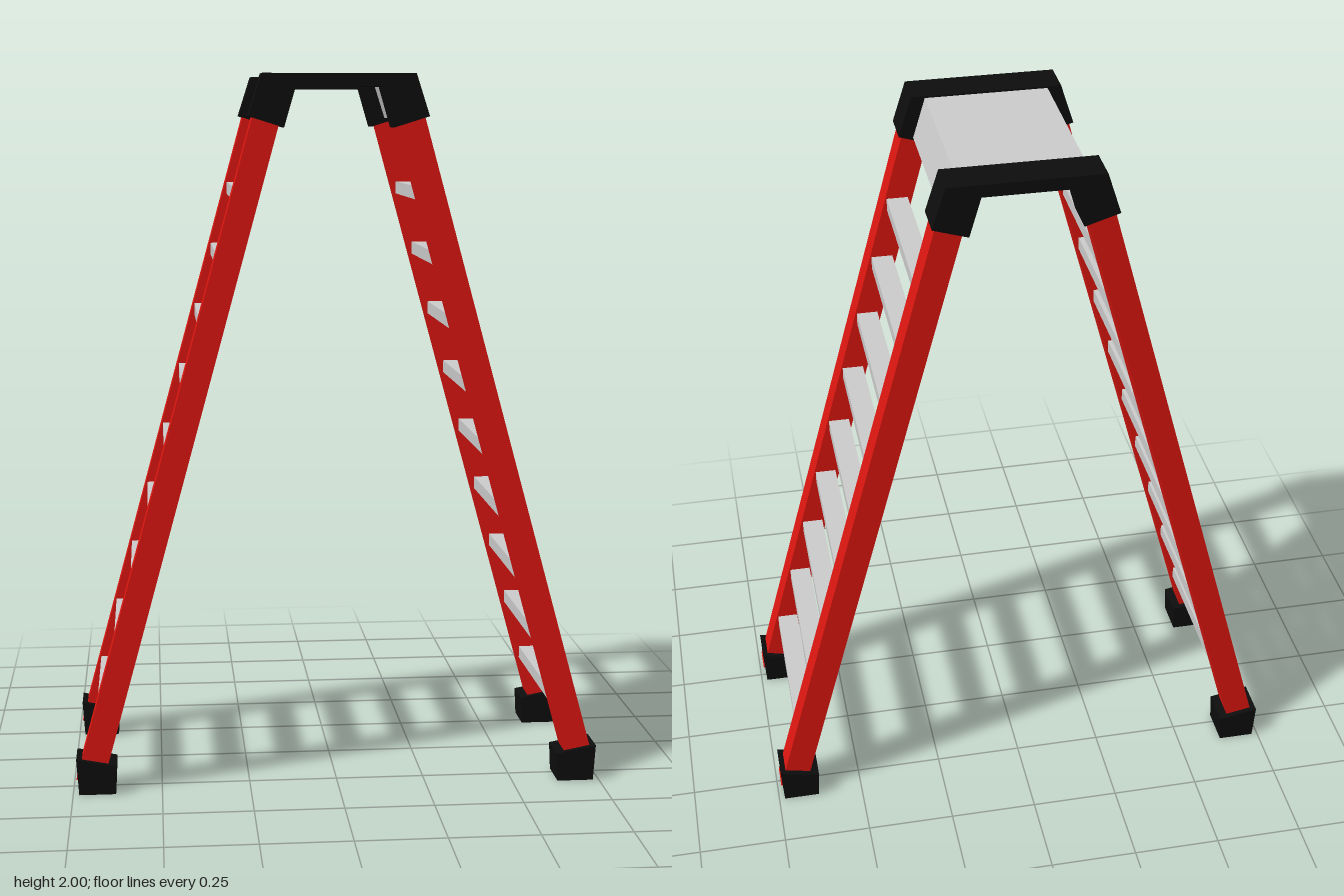
import * as THREE from 'three';

const red = new THREE.MeshStandardMaterial({ color: 0xdd1610 });
const black = new THREE.MeshStandardMaterial({ color: 0x0d0d0d });
const grey = new THREE.MeshStandardMaterial({ color: 0xcccccc });

// Extrudes an x-y outline along z, centred on the given z
function prism(name, outline, depth, z, material) {
  const shape = new THREE.Shape(outline.map(([x, y]) => new THREE.Vector2(x, y)));
  const geometry = new THREE.ExtrudeGeometry(shape, { depth, bevelEnabled: false });
  geometry.translate(0, 0, z - depth / 2);
  const mesh = new THREE.Mesh(geometry, material);
  mesh.name = name;
  return mesh;
}

// Mirrors an open half outline (x > 0) across x = 0 to close it
const mirrored = (half) => [...half, ...half.map(([x, y]) => [-x, y]).reverse()];

// Centre line of the slanted rails
const SLOPE = 0.274;
const railX = (y) => 0.685 - SLOPE * (y - 0.1);

export function createModel() {
  const model = new THREE.Group();
  model.name = 'stepladder';

  for (const side of [1, -1]) {
    const sideName = side > 0 ? 'left' : 'right';
    const flip = (points) => points.map(([x, y]) => [side * x, y]);

    // Rails and rubber feet
    for (const end of [1, -1]) {
      const z = end * 0.275;
      const half = 0.039;
      const [low, high] = [0.04, 1.94];
      model.add(prism(sideName + 'Rail', flip([
        [railX(low) - half, low], [railX(low) + half, low],
        [railX(high) + half, high], [railX(high) - half, high],
      ]), 0.077, z, red));
      model.add(prism(sideName + 'Foot', flip([
        [0.63, 0], [0.733, 0], [0.74, 0.102], [0.626, 0.08],
      ]), 0.108, z, black));
    }

    // Rungs: channels open underneath
    for (let i = 0; i < 9; i++) {
      const top = 0.244 + i * 0.181;
      const x = railX(top - 0.018);
      const rung = prism('rung', mirrored([
        [0.018, top - 0.012], [0.018, top - 0.036],
        [0.03, top - 0.036], [0.03, top],
      ]), 0.474, 0, grey);
      rung.position.x = side * x;
      model.add(rung);
    }
  }

  // Top platform: folded sheet with sloping sides
  model.add(prism('platform', mirrored([
    [0.155, 1.98], [0.187, 1.88], [0.206, 1.88], [0.171, 1.995],
  ]), 0.46, 0, grey));

  // Bridge caps joining the rail tops
  for (const end of [1, -1]) {
    model.add(prism('topCap', mirrored([
      [0.118, 1.965], [0.15, 1.855], [0.246, 1.885], [0.209, 2],
    ]), 0.108, end * 0.275, black));
  }

  return model;
}
